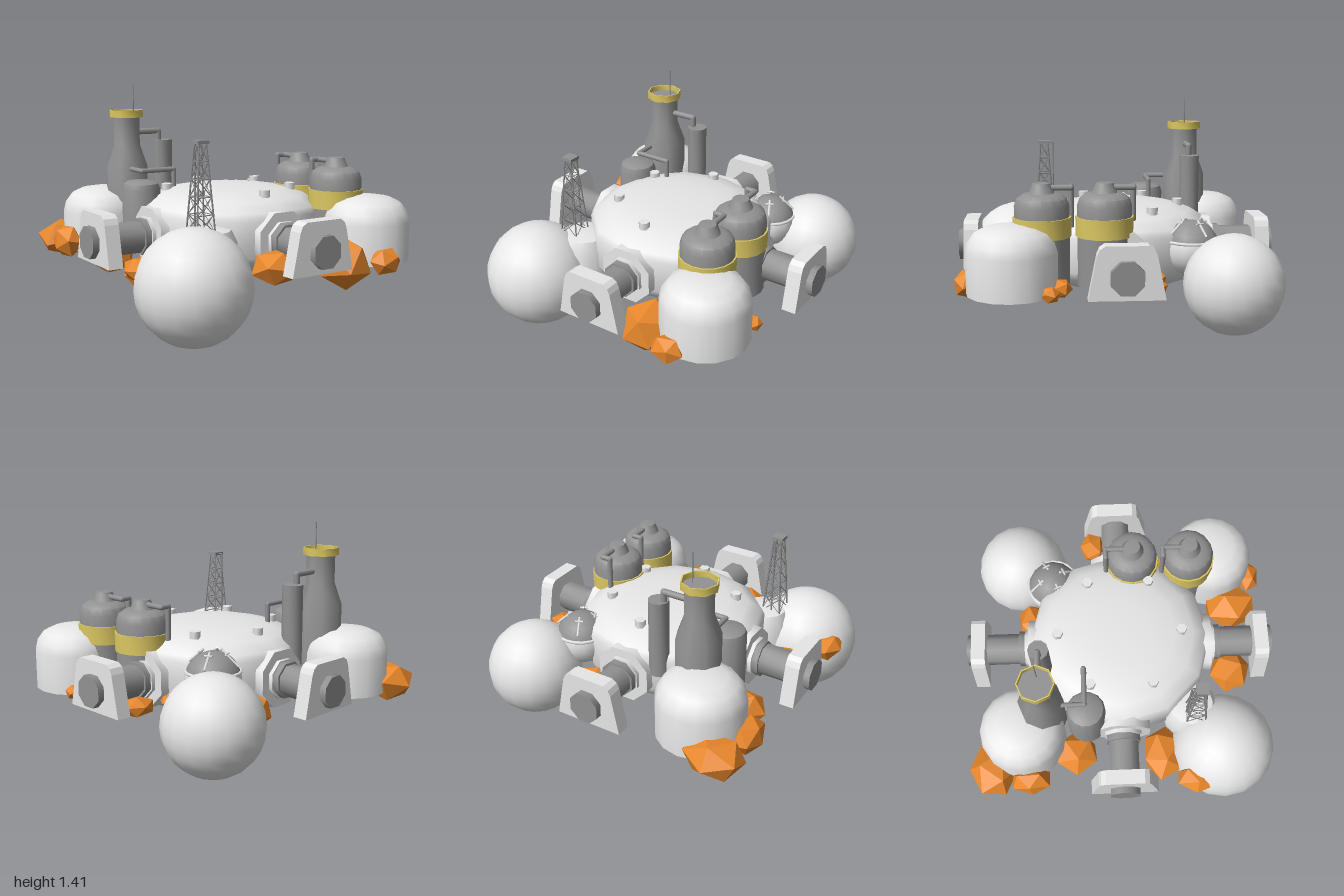
import * as THREE from 'three';
import { toCreasedNormals } from 'three/addons/utils/BufferGeometryUtils.js';

const mat = (name, color, extra = {}) => {
  const m = new THREE.MeshStandardMaterial({ color, ...extra });
  m.name = name;
  return m;
};

export function createModel() {
  const root = new THREE.Group();
  root.name = 'outpost';
  const light = mat('paleHull', 0xeeeeee);
  const grey = mat('greyMetal', 0x929292);
  const gold = mat('goldTrim', 0xdcc862);
  const orange = mat('orangeRock', 0xec8a2c, { flatShading: true });

  const add = (name, geo, material, pos = [0, 0, 0], parent = root) => {
    const mesh = new THREE.Mesh(geo, material);
    mesh.name = name;
    mesh.position.set(...pos);
    parent.add(mesh);
    return mesh;
  };
  // Profiles run bottom to top as [radius, height]
  const lathe = (pts, sides, crease = 0.6) => toCreasedNormals(
    new THREE.LatheGeometry(pts.map(p => new THREE.Vector2(...p)), sides), crease);
  const rod = (name, a, b, r, material, parent = root, sides = 6) => {
    const A = new THREE.Vector3(...a), B = new THREE.Vector3(...b);
    const m = add(name, new THREE.CylinderGeometry(r, r, A.distanceTo(B), sides), material,
      A.clone().add(B).multiplyScalar(0.5).toArray(), parent);
    m.quaternion.setFromUnitVectors(new THREE.Vector3(0, 1, 0), B.sub(A).normalize());
    return m;
  };
  // Pipe through corner points with ball elbows
  const pipe = (name, pts, r) => {
    const g = new THREE.Group();
    g.name = name;
    root.add(g);
    for (let i = 1; i < pts.length; i++) {
      rod('pipeRun', pts[i - 1], pts[i], r, grey, g, 8);
      if (i < pts.length - 1) add('elbow', new THREE.SphereGeometry(r, 8, 6), grey, pts[i], g);
    }
  };

  // Central hub with a shallow domed roof and lens-shaped underside
  add('hub', lathe([[0, 0.305], [0.3, 0.308], [0.48, 0.32], [0.56, 0.385], [0.58, 0.43], [0.585, 0.64],
    [0.565, 0.68], [0.48, 0.735], [0.36, 0.768], [0.2, 0.782], [0, 0.787]], 12, 0.7), light);
  for (let i = 0; i < 6; i++) {
    const a = i * Math.PI / 3;
    add('roofBolt', new THREE.CylinderGeometry(0.034, 0.034, 0.045, 6), light,
      [0.395 * Math.sin(a), 0.773, 0.395 * Math.cos(a)]);
  }

  // Four docking arms, each built along +z and turned into place
  const half = [[0.215, 0.385], [0.165, 0.635], [0.15, 0.67], [0.12, 0.69]];
  const padShape = new THREE.Shape([...half, ...half.slice().reverse().map(([x, y]) => [-x, y])]
    .map(p => new THREE.Vector2(...p)));
  const padGeo = new THREE.ExtrudeGeometry(padShape, { depth: 0.09, bevelEnabled: false });
  for (let i = 0; i < 4; i++) {
    const arm = new THREE.Group();
    arm.name = 'dockingArm';
    arm.rotation.y = i * Math.PI / 2;
    root.add(arm);
    const drum = (name, r, z0, z1, material) => {
      const geo = new THREE.CylinderGeometry(r, r, z1 - z0, 8).rotateY(Math.PI / 8).rotateX(Math.PI / 2);
      add(name, toCreasedNormals(geo, 0.9), material, [0, 0.515, (z0 + z1) / 2], arm);
    };
    drum('armFlange', 0.185, 0.5, 0.595, light);
    drum('armCollar', 0.125, 0.56, 0.62, light);
    drum('armRing', 0.115, 0.6, 0.66, grey);
    drum('armTube', 0.1, 0.5, 1.0, grey);
    add('dockingPlate', padGeo, light, [0, 0, 0.87], arm);
  }

  // Storage spheres and domed silos at the corners
  for (const [x, y, z, r] of [[-0.66, 0.337, 0.65, 0.335], [0.64, 0.385, -0.65, 0.299]])
    add('storageSphere', new THREE.SphereGeometry(r, 18, 14), light, [x, y, z]);
  for (const [x, z] of [[0.6, 0.64], [-0.57, -0.64]])
    add('domedSilo', lathe([[0, 0.35], [0.27, 0.35], [0.27, 0.59], [0.255, 0.65], [0.215, 0.705],
      [0.15, 0.735], [0.07, 0.748], [0, 0.75]], 16, 0.7), light, [x, 0, z]);

  // Gold-banded tanks with feed pipes
  for (const z of [0.1, 0.467]) {
    add('tankBody', lathe([[0, 0.36], [0.162, 0.36], [0.162, 0.67]], 16), grey, [0.5, 0, z]);
    add('tankBand', lathe([[0.15, 0.66], [0.172, 0.66], [0.172, 0.775], [0.15, 0.775]], 16), gold, [0.5, 0, z]);
    add('tankTop', lathe([[0.162, 0.77], [0.162, 0.84], [0.147, 0.885], [0.11, 0.91], [0.075, 0.915],
      [0.05, 0.972], [0, 0.976]], 16, 0.7), grey, [0.5, 0, z]);
    pipe('tankPipe', [[0.5, 0.945, z], [0.5, 0.945, z - 0.172], [0.445, 0.945, z - 0.172],
      [0.445, 0.7, z - 0.172]], 0.017);
  }

  // Refinery stack with a thin gold ring and aerial
  const [tx, tz] = [-0.47, -0.5];
  add('stack', lathe([[0, 0.45], [0.14, 0.45], [0.14, 0.89], [0.09, 1.03], [0.09, 1.215], [0.104, 1.22],
    [0, 1.22]], 8, 0.9), grey, [tx, 0, tz]);
  add('stackRing', lathe([[0.088, 1.208], [0.113, 1.208], [0.113, 1.255], [0.105, 1.255], [0.105, 1.215]], 8, 0.9),
    gold, [tx, 0, tz]);
  rod('aerial', [-0.42, 1.2, -0.495], [-0.42, 1.415, -0.495], 0.004, grey);
  add('column', lathe([[0, 0.55], [0.064, 0.55], [0.064, 1.05], [0, 1.05]], 10, 0.7), grey, [-0.2, 0, -0.5]);
  pipe('columnPipe', [[-0.45, 1.11, -0.5], [-0.235, 1.11, -0.5], [-0.235, 1.03, -0.5]], 0.02);
  add('sideTank', lathe([[0, 0.45], [0.122, 0.45], [0.122, 0.77], [0.11, 0.805], [0.08, 0.822], [0, 0.825]], 14, 0.7),
    grey, [-0.51, 0, -0.23]);
  pipe('sideTankPipe', [[-0.5, 0.88, -0.42], [-0.5, 0.88, -0.235], [-0.27, 0.88, -0.235], [-0.27, 0.76, -0.235]], 0.016);

  // Corner pod carrying the derrick
  add('derrickPod', lathe([[0, 0.27], [0.09, 0.27], [0.175, 0.36], [0.175, 0.53], [0.14, 0.6], [0, 0.63]], 12, 0.7),
    light, [-0.44, 0, 0.44]);
  const derrick = new THREE.Group();
  derrick.name = 'derrick';
  derrick.position.set(-0.5, 0, 0.465);
  root.add(derrick);
  const corner = (k, t) => {
    const w = 0.06 - 0.036 * t, a = (k + 0.5) * Math.PI / 2;
    return [w * Math.SQRT2 * Math.cos(a), 0.6 + 0.51 * t, w * Math.SQRT2 * Math.sin(a)];
  };
  for (let k = 0; k < 4; k++) {
    rod('derrickLeg', corner(k, 0), corner(k, 1), 0.006, grey, derrick, 4);
    for (let s = 0; s < 5; s++) {
      const t = s / 5, u = (s + 1) / 5;
      rod('derrickBrace', corner(k, t), corner(k + 1, u), 0.003, grey, derrick, 4);
      rod('derrickBrace', corner(k + 1, t), corner(k, u), 0.003, grey, derrick, 4);
      rod('derrickRung', corner(k, u), corner(k + 1, u), 0.003, grey, derrick, 4);
    }
  }
  add('derrickCap', new THREE.BoxGeometry(0.075, 0.02, 0.075), grey, [0, 1.117, 0], derrick);
  rod('derrickArm', [0, 1.117, 0], [0, 1.117, -0.06], 0.006, grey, derrick, 5);
  rod('derrickLine', [0, 1.12, -0.06], [0, 0.6, -0.06], 0.006, grey, derrick, 5);

  // Spherical pod with grey cap, pale rim and T-shaped ribs
  const pod = new THREE.Group();
  pod.name = 'sensorPod';
  pod.position.set(0.42, 0.56, -0.43);
  root.add(pod);
  add('podShell', new THREE.SphereGeometry(0.17, 14, 8, 0, Math.PI * 2, Math.PI * 0.4, Math.PI * 0.6), light, [0, 0, 0], pod);
  add('podCap', new THREE.SphereGeometry(0.169, 14, 5, 0, Math.PI * 2, 0, Math.PI * 0.4), grey, [0, 0, 0], pod);
  add('podRim', new THREE.TorusGeometry(0.163, 0.01, 6, 20).rotateX(Math.PI / 2), light, [0, 0.05, 0], pod);
  for (let i = 0; i < 4; i++) {
    const rib = new THREE.Group();
    rib.name = 'podRib';
    rib.rotation.y = i * Math.PI / 2 + 0.45;
    pod.add(rib);
    rod('ribBar', [0.155, 0.09, 0], [0.06, 0.175, 0], 0.008, light, rib, 5);
    rod('ribCross', [0.085, 0.158, -0.025], [0.085, 0.158, 0.025], 0.007, light, rib, 5);
  }

  // Faceted rocks: centre x, y, z then half sizes
  const rocks = [
    [-0.77, 0.39, -0.84, 0.165, 0.11, 0.16], [-0.86, 0.41, -0.6, 0.085, 0.1, 0.12],
    [-0.68, 0.34, -0.31, 0.145, 0.1, 0.135], [-0.7, 0.34, 0.26, 0.18, 0.1, 0.12],
    [-0.89, 0.43, 0.47, 0.095, 0.07, 0.13], [-0.165, 0.4, 0.73, 0.14, 0.095, 0.135],
    [0.305, 0.38, 0.77, 0.148, 0.16, 0.165], [0.52, 0.385, 0.91, 0.11, 0.075, 0.07],
    [0.65, 0.38, 0.365, 0.075, 0.055, 0.075], [0.79, 0.38, 0.42, 0.055, 0.045, 0.055],
    [0.245, 0.36, -0.59, 0.13, 0.1, 0.09], [0.77, 0.41, -0.16, 0.105, 0.06, 0.085],
    [0.575, 0.41, -0.21, 0.045, 0.04, 0.05],
  ];
  rocks.forEach(([x, y, z, sx, sy, sz], i) => {
    const geo = new THREE.IcosahedronGeometry(1, 0).rotateX(0.5 + i * 1.7).rotateY(i * 2.3).rotateZ(i * 0.9);
    geo.computeBoundingBox();
    const b = geo.boundingBox.max;
    geo.scale(sx / b.x, sy / b.y, sz / b.z);
    add('rock', geo, orange, [x, y, z]);
  });
  return root;
}
